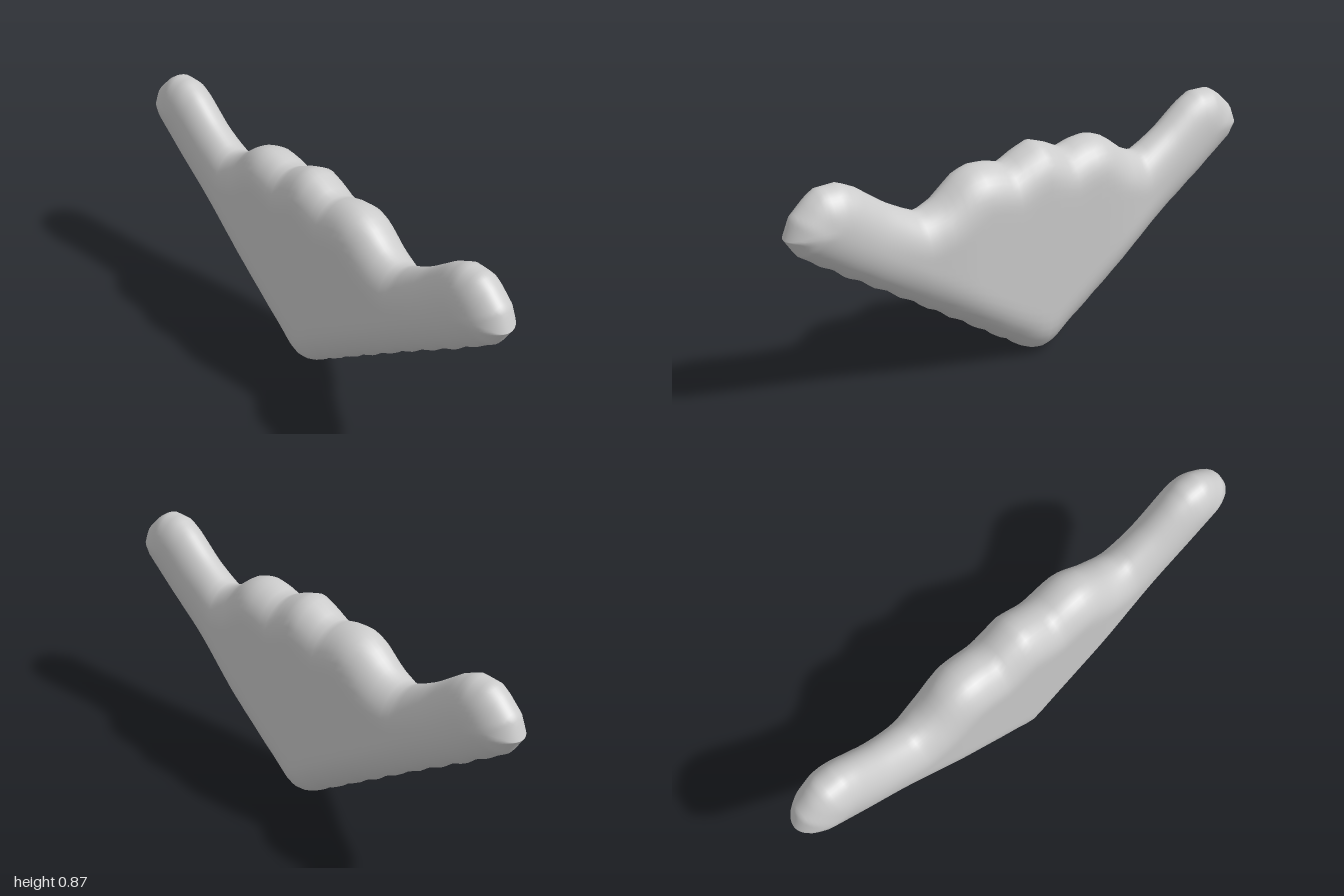
import * as THREE from 'three';

// Half outlines [x, y], mirrored across x = 0
const TOP = [[0, 0.84], [0.06, 0.82], [0.13, 0.785], [0.2, 0.804], [0.27, 0.808], [0.33, 0.785],
  [0.42, 0.715], [0.49, 0.686], [0.55, 0.715], [0.62, 0.755], [0.73, 0.838], [0.79, 0.868],
  [0.87, 0.866], [0.91, 0.84], [0.97, 0.785], [1, 0.715]];
const BOTTOM = [[0, 0], [0.04, 0.008], [0.08, 0.03], [0.13, 0.07], [0.2, 0.118], [0.3, 0.19],
  [0.6, 0.4], [0.8, 0.535], [0.96, 0.65], [1, 0.715]];

function heightAt(line, x) {
  const ax = Math.min(Math.abs(x), 1);
  let i = 1;
  while (i < line.length - 1 && line[i][0] < ax) i++;
  const [x0, y0] = line[i - 1], [x1, y1] = line[i];
  return y0 + (y1 - y0) * (ax - x0) / (x1 - x0);
}

// Shortest distance from a point to one of the half outlines
function distanceTo(line, x, y) {
  let best = Infinity;
  for (let i = 1; i < line.length; i++) {
    const [ax, ay] = line[i - 1], [bx, by] = line[i];
    const dx = bx - ax, dy = by - ay;
    const t = THREE.MathUtils.clamp(((x - ax) * dx + (y - ay) * dy) / (dx * dx + dy * dy), 0, 1);
    best = Math.min(best, Math.hypot(x - ax - t * dx, y - ay - t * dy));
  }
  return best;
}

export function createModel() {
  const columns = 96, around = 56, radius = 0.14;
  const positions = [], indices = [];

  // Vertical cross-sections from one arm tip to the other
  for (let i = 0; i <= columns; i++) {
    const x = Math.sin((i / columns - 0.5) * Math.PI), ax = Math.abs(x);
    const top = heightAt(TOP, x), bottom = heightAt(BOTTOM, x);
    const centre = 1 - THREE.MathUtils.smoothstep(ax, 0.3, 0.65);
    // Faint ripples along the lower edges
    const ripple = 0.005 * Math.sin(ax * 62) * THREE.MathUtils.smoothstep(ax, 0.08, 0.15)
      * (1 - THREE.MathUtils.smoothstep(ax, 0.85, 0.95));
    for (let j = 0; j < around; j++) {
      const a = j / around * Math.PI * 2, c = Math.cos(a);
      const y = (top + bottom) / 2 + (top - bottom) / 2 * c;
      // Thickness rounds off towards the outline
      const d = Math.min(distanceTo(TOP, ax, y), distanceTo(BOTTOM, ax, y));
      const round = Math.sqrt(Math.max(0, 1 - (1 - Math.min(d / radius, 1)) ** 2));
      const z = Math.sin(a) > 0 ? (0.092 + 0.013 * centre) * round : -(0.098 + 0.03 * centre) * round;
      positions.push(x, y + ripple * Math.max(0, -c) ** 8, z + 0.01);
    }
  }
  for (let i = 0; i < columns; i++) {
    for (let j = 0; j < around; j++) {
      const k = (j + 1) % around;
      const a = i * around + j, b = i * around + k;
      indices.push(a, b, a + around, b, b + around, a + around);
    }
  }

  const geometry = new THREE.BufferGeometry();
  geometry.setAttribute('position', new THREE.Float32BufferAttribute(positions, 3));
  geometry.setIndex(indices);
  geometry.computeVertexNormals();

  const body = new THREE.Mesh(geometry, new THREE.MeshStandardMaterial({ color: 0xcccccc }));
  body.name = 'wingedBody';
  const group = new THREE.Group();
  group.name = 'softWing';
  group.add(body);
  return group;
}
